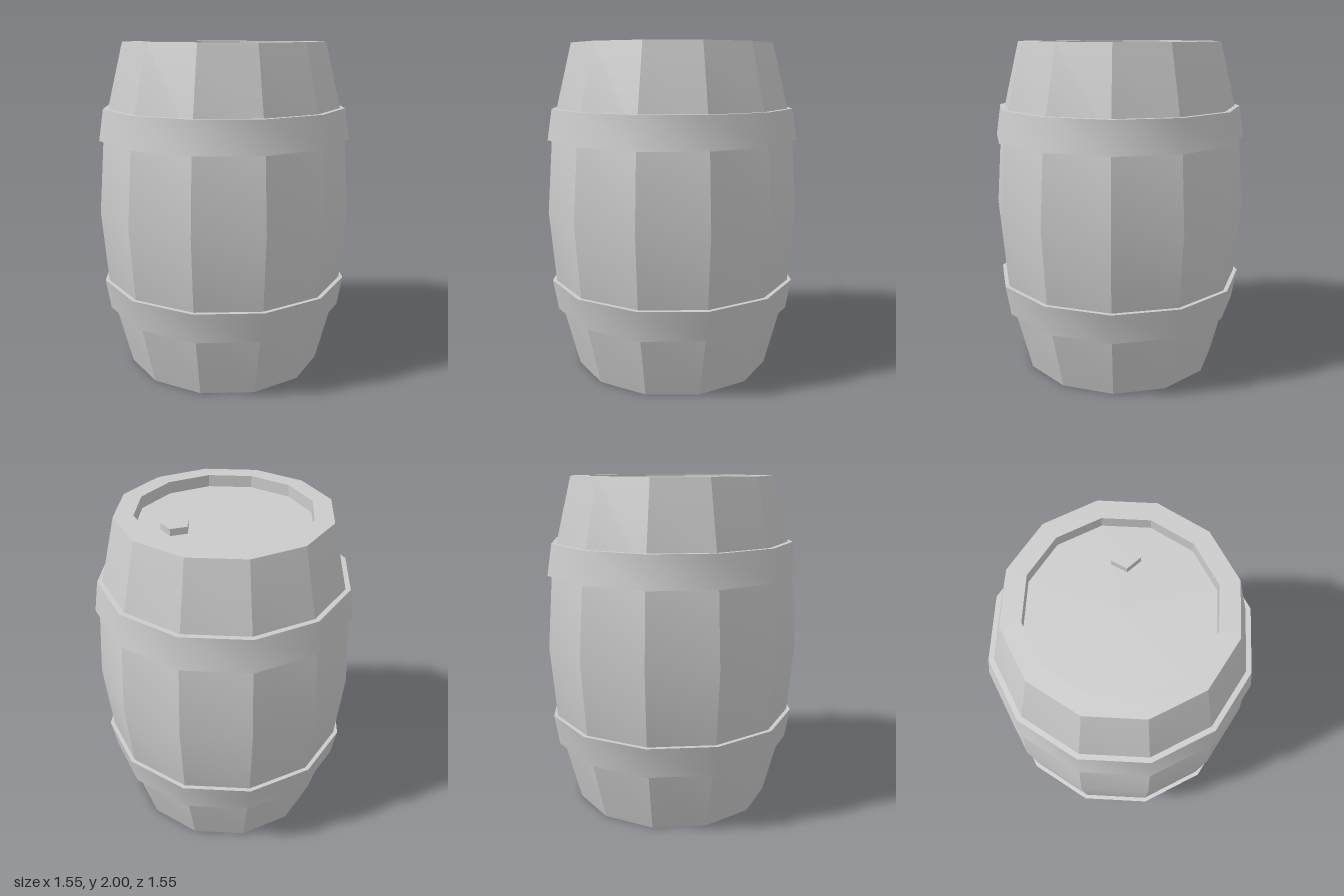
import * as THREE from 'three';
import { toCreasedNormals } from 'three/addons/utils/BufferGeometryUtils.js';

const SIDES = 12;
const material = new THREE.MeshStandardMaterial({ color: 0xcccccc });

function makeMesh(name, geometry, creaseDegrees) {
  const creased = toCreasedNormals(geometry, THREE.MathUtils.degToRad(creaseDegrees));
  const mesh = new THREE.Mesh(creased, material);
  mesh.name = name;
  return mesh;
}

function lathe(profile) {
  return new THREE.LatheGeometry(profile.map(([r, y]) => new THREE.Vector2(r, y)), SIDES);
}

export function createModel() {
  const barrel = new THREE.Group();
  barrel.name = 'barrel';

  // Staves with a recessed head at both ends: lower half, then mirrored
  const half = [[0, 0.07], [0.5, 0.07], [0.5, 0], [0.61, 0], [0.735, 0.5]];
  const upper = half.map(([r, y]) => [r, 2 - y]).reverse();
  barrel.add(makeMesh('body', lathe([...half, [0.775, 1], ...upper]), 20));

  // Hoops: flared rings, the upper one turned upside down
  const hoopProfile = [[0.69, 0.38], [0.735, 0.38], [0.765, 0.565], [0.725, 0.565]];
  const lowerHoop = makeMesh('lowerHoop', lathe(hoopProfile), 45);
  const upperHoop = lowerHoop.clone();
  upperHoop.name = 'upperHoop';
  upperHoop.rotation.z = Math.PI;
  upperHoop.position.y = 2;
  barrel.add(lowerHoop, upperHoop);

  // Five-sided bung standing on the top head
  const bung = makeMesh('bung', new THREE.CylinderGeometry(0.082, 0.082, 0.05, 5), 30);
  bung.rotation.y = Math.PI;
  bung.position.set(0.21, 1.945, -0.203);
  barrel.add(bung);

  return barrel;
}
